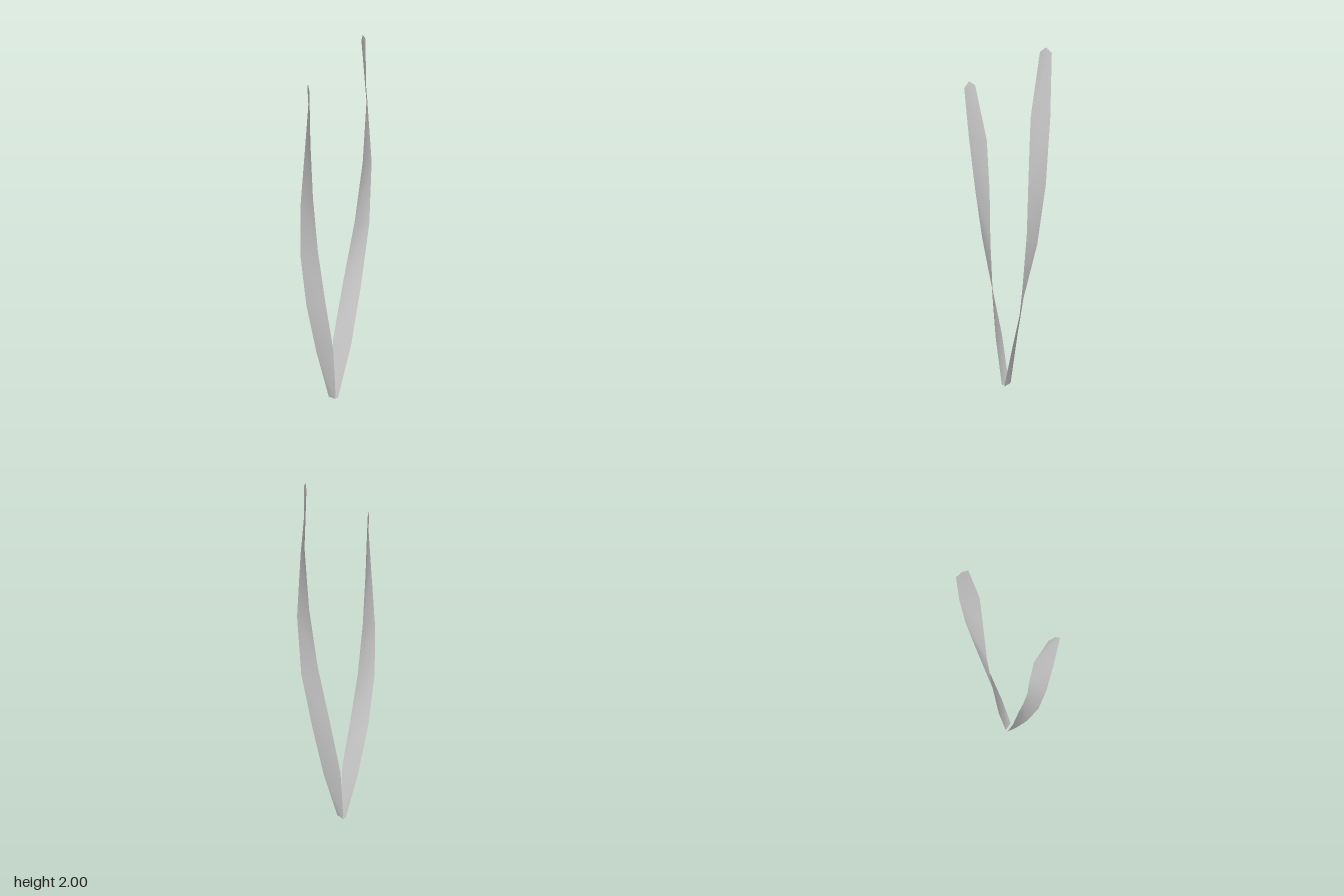
import * as THREE from 'three';

const bladeGrey = new THREE.MeshStandardMaterial({ color: 0xcccccc, side: THREE.DoubleSide });
bladeGrey.name = 'bladeGrey';

// Thin twisted ribbon: two matching edges from base to top, closed by a pointed tip.
function makeBlade(name, outerEdge, innerEdge, tip) {
  const positions = [];
  const indices = [];
  outerEdge.forEach((p, i) => {
    positions.push(...p, ...innerEdge[i]);
    if (i > 0) {
      const a = 2 * (i - 1);
      indices.push(a, a + 2, a + 1, a + 1, a + 2, a + 3);
    }
  });
  const last = 2 * (outerEdge.length - 1);
  positions.push(...tip);
  indices.push(last, last + 2, last + 1);

  const geometry = new THREE.BufferGeometry();
  geometry.setAttribute('position', new THREE.Float32BufferAttribute(positions, 3));
  geometry.setIndex(indices);
  geometry.computeVertexNormals();
  const mesh = new THREE.Mesh(geometry, bladeGrey);
  mesh.name = name;
  return mesh;
}

export function createModel() {
  const model = new THREE.Group();
  model.name = 'grassBlades';

  // Taller blade, leaning left and backward
  model.add(makeBlade(
    'leftBlade',
    [[-0.012, 0, 0.016], [0.075, 0.3, 0.008], [0.15, 0.63, -0.018], [0.222, 0.97, -0.06],
      [0.25, 1.31, -0.09], [0.235, 1.65, -0.118], [0.207, 1.97, -0.137]],
    [[-0.03, 0, -0.036], [0, 0.33, -0.065], [0.06, 0.65, -0.062], [0.125, 0.99, -0.05],
      [0.165, 1.32, -0.035], [0.185, 1.65, -0.033], [0.198, 1.98, -0.075]],
    [0.2, 2, -0.107],
  ));

  // Shorter blade, leaning right and forward
  model.add(makeBlade(
    'rightBlade',
    [[-0.045, 0, -0.032], [-0.123, 0.28, -0.028], [-0.195, 0.57, 0], [-0.243, 0.86, 0.035],
      [-0.254, 1.14, 0.068], [-0.243, 1.45, 0.107], [-0.231, 1.73, 0.136]],
    [[-0.028, 0, 0.022], [-0.056, 0.31, 0.047], [-0.1, 0.58, 0.042], [-0.14, 0.87, 0.034],
      [-0.163, 1.16, 0.025], [-0.179, 1.45, 0.032], [-0.216, 1.745, 0.08]],
    [-0.226, 1.765, 0.11],
  ));

  return model;
}
